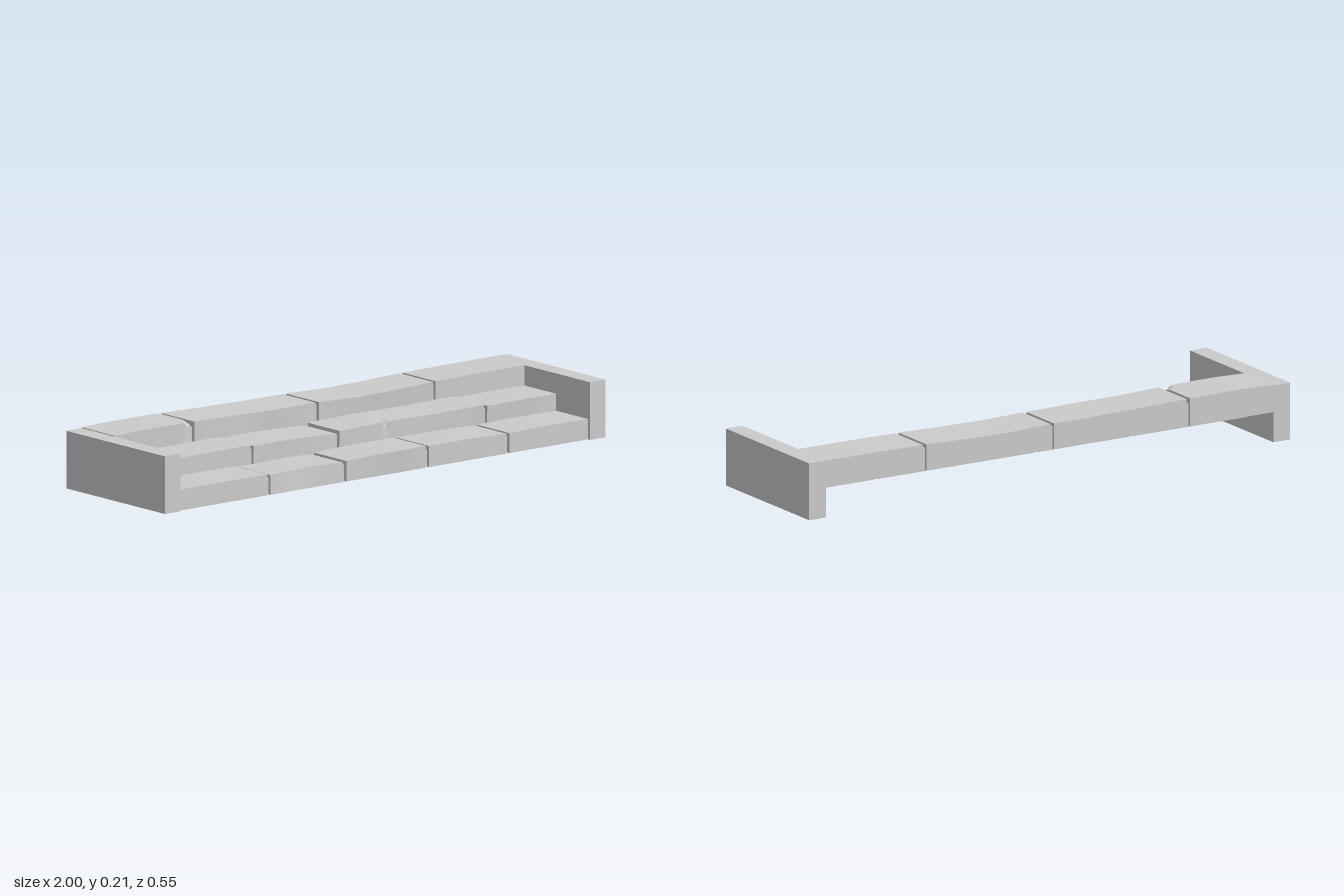
import * as THREE from 'three';
import { toCreasedNormals } from 'three/addons/utils/BufferGeometryUtils.js';

const INNER = 0.93; // half width between the end walls
const GAP = 0.014; // joint width

// Courses: bottom, top, front, back, joint positions,
// then per-stone offsets of the top height and front face along the stone.
const courses = [
  {
    name: 'lowerStep', y0: 0, y1: 0.075, front: 0.264, back: 0.083,
    joints: [-0.52, -0.175, 0.2, 0.565],
    rise: [[0, 0.001, 0], [-0.004, -0.003, 0, -0.005], [-0.001, 0.003, 0.004, 0.003], [0.001, 0.002, -0.003], [-0.003, 0, -0.002]],
    bulge: [[0, 0], [-0.001, -0.008, -0.004, -0.003], [0, 0.001, 0.005, 0], [0, 0], [0, 0]],
  },
  {
    name: 'middleStep', y0: 0.05, y1: 0.139, front: 0.085, back: -0.093,
    joints: [-0.45, -0.06, 0.61],
    rise: [[0.002, 0, 0.002], [-0.004, -0.002, -0.005, -0.011], [-0.003, 0.001, -0.002, 0.001], [-0.005, -0.004, -0.005]],
    bulge: [[0, 0], [0, 0.001, -0.003], [0.001, 0, 0.002], [0.002, 0.004, 0]],
    chip: { x: 0.16, r: 0.018, z0: 0.01, depth: 0.022 },
  },
  {
    name: 'upperStep', y0: 0.11, y1: 0.207, front: -0.09, back: -0.273,
    joints: [-0.575, -0.01, 0.52],
    rise: [[0.003, 0.006, 0.006, 0.005], [0.004, 0, -0.003, -0.004], [-0.004, -0.009, -0.007, -0.002], [-0.002, 0, 0]],
    bulge: [[0, 0.002, 0], [0, -0.003, 0.004, -0.002], [0, 0.005, 0.002], [0, 0]],
    chip: { x: -0.59, r: 0.025, z0: -0.14, depth: 0.018 },
  },
];

const material = new THREE.MeshStandardMaterial({ color: 0xcccccc });

function addBox(parent, name, x0, x1, y0, y1, z0, z1) {
  const geo = new THREE.BoxGeometry(x1 - x0, y1 - y0, z1 - z0);
  geo.translate((x0 + x1) / 2, (y0 + y1) / 2, (z0 + z1) / 2);
  const mesh = new THREE.Mesh(geo, material);
  mesh.name = name;
  parent.add(mesh);
}

// Evenly spaced values, linearly interpolated at t in 0..1
function sample(values, t) {
  const s = t * (values.length - 1);
  const i = Math.min(Math.floor(s), values.length - 2);
  return THREE.MathUtils.lerp(values[i], values[i + 1], s - i);
}

// Worn block: uneven top and front, with an optional wedge-shaped chip
function stoneGeometry(c, x0, x1, rise, bulge) {
  const length = x1 - x0, height = c.y1 - c.y0, depth = c.front - c.back;
  const chipped = c.chip && c.chip.x > x0 && c.chip.x < x1;
  const geo = new THREE.BoxGeometry(length, height, depth, chipped ? 72 : 12, 3, chipped ? 12 : 3);
  geo.translate((x0 + x1) / 2, (c.y0 + c.y1) / 2, (c.front + c.back) / 2);
  const p = geo.attributes.position;
  for (let i = 0; i < p.count; i++) {
    const x = p.getX(i), y = p.getY(i), z = p.getZ(i);
    const t = THREE.MathUtils.clamp((x - x0) / length, 0, 1);
    const up = (y - c.y0) / height;
    const forward = (z - c.back) / depth;
    let dy = sample(rise, t) * up;
    let dz = sample(bulge, t) * (forward > 0.99 ? up : 0);
    if (chipped) {
      const across = Math.max(0, 1 - Math.abs(x - c.chip.x) / c.chip.r);
      const along = THREE.MathUtils.clamp((z - c.chip.z0) / (c.front - c.chip.z0), 0, 1);
      dy -= c.chip.depth * across * along * up;
      if (forward > 0.99) dz -= 0.012 * across * up;
    }
    p.setXYZ(i, x, y + dy, z + dz);
  }
  return toCreasedNormals(geo, 0.5);
}

export function createModel() {
  const model = new THREE.Group();
  model.name = 'stoneSteps';

  // End walls
  addBox(model, 'leftEndWall', INNER, 1, 0, 0.207, -0.272, 0.275);
  addBox(model, 'rightEndWall', -1, -INNER, 0, 0.207, -0.272, 0.275);

  for (const c of courses) {
    const step = new THREE.Group();
    step.name = c.name;
    model.add(step);

    // Individual stones
    const edges = [-INNER, ...c.joints, INNER];
    for (let i = 0; i < edges.length - 1; i++) {
      const x0 = edges[i] + (i > 0 ? GAP / 2 : 0);
      const x1 = edges[i + 1] - (i < edges.length - 2 ? GAP / 2 : 0);
      const stone = new THREE.Mesh(stoneGeometry(c, x0, x1, c.rise[i], c.bulge[i]), material);
      stone.name = 'stone';
      step.add(stone);
    }

    // Recessed mortar in the joints
    for (const x of c.joints) {
      addBox(step, 'mortar', x - GAP / 2, x + GAP / 2, c.y0 + 0.001, c.y1 - 0.016, c.back + 0.01, c.front - 0.012);
    }
  }
  return model;
}
